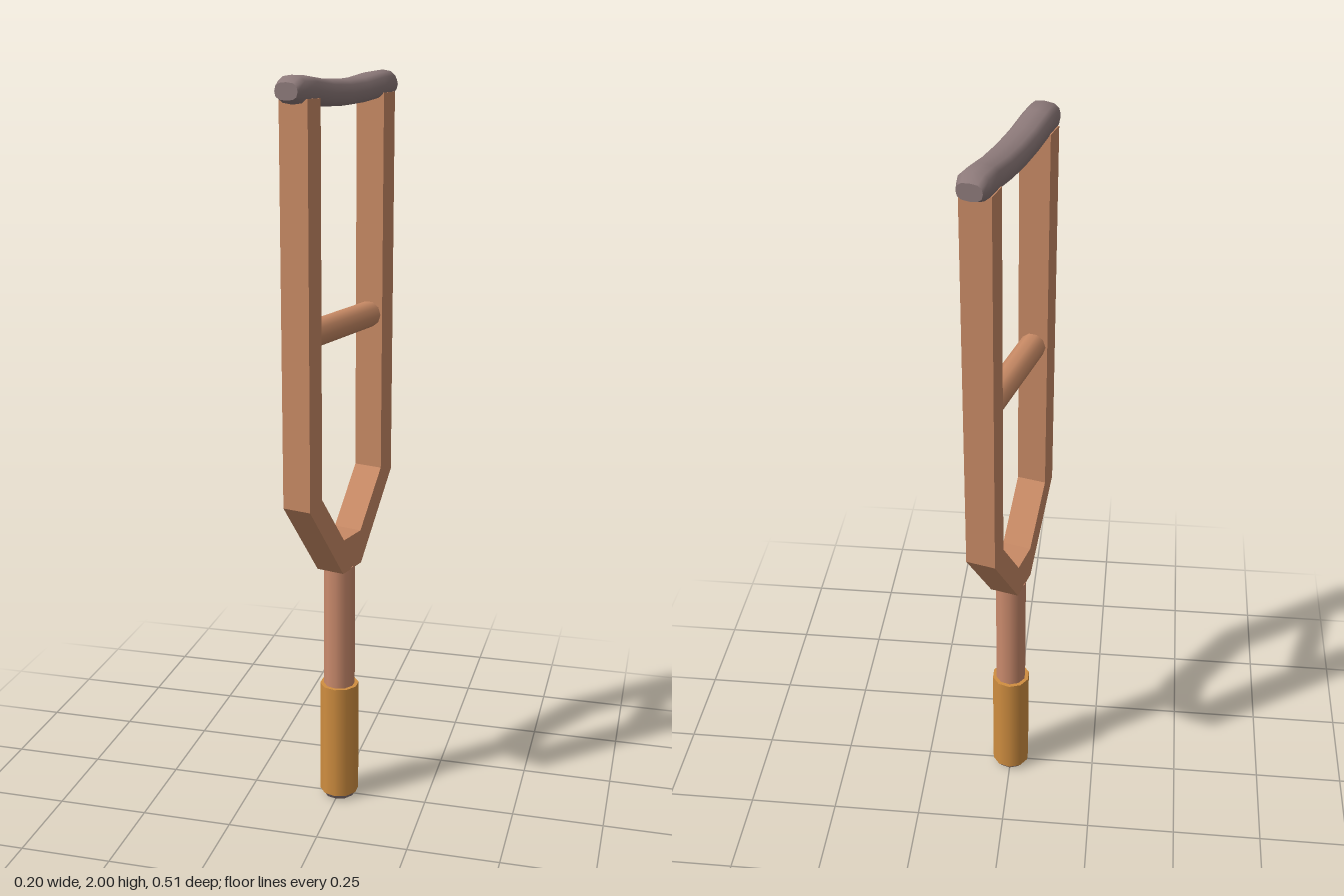
import * as THREE from 'three';
import { toCreasedNormals } from 'three/addons/utils/BufferGeometryUtils.js';

const material = (name, color) => {
  const m = new THREE.MeshStandardMaterial({ color });
  m.name = name;
  return m;
};

// Lofts rounded-box rings along z; each section is [z, centreY, halfWidth, halfHeight]
function loft(sections, sides) {
  const pos = [], index = [];
  const soft = (v) => Math.sign(v) * Math.abs(v) ** 0.75;
  for (const [z, y, w, h] of sections) {
    for (let j = 0; j < sides; j++) {
      const a = (j / sides) * Math.PI * 2;
      pos.push(w * soft(Math.cos(a)), y + h * soft(Math.sin(a)), z);
    }
  }
  const last = sections.length - 1;
  const c0 = pos.length / 3, c1 = c0 + 1;
  pos.push(0, sections[0][1], sections[0][0], 0, sections[last][1], sections[last][0]);
  for (let j = 0; j < sides; j++) {
    const k = (j + 1) % sides;
    for (let i = 0; i < last; i++) {
      const a = i * sides + j, b = i * sides + k;
      index.push(a, b, a + sides, b, b + sides, a + sides);
    }
    index.push(c0, k, j, c1, last * sides + j, last * sides + k);
  }
  const g = new THREE.BufferGeometry();
  g.setAttribute('position', new THREE.Float32BufferAttribute(pos, 3));
  g.setIndex(index);
  return toCreasedNormals(g, 0.9);
}

export function createModel() {
  const model = new THREE.Group();
  model.name = 'crutch';
  const wood = material('wood', 0xc88a65);
  const postWood = material('post wood', 0xcb8b6d);
  const rubber = material('pad grey', 0x8c7979);
  const sleeveColor = material('sleeve orange', 0xd08e40);

  const add = (parent, name, geometry, mat) => {
    const mesh = new THREE.Mesh(geometry, mat);
    mesh.name = name;
    parent.add(mesh);
    return mesh;
  };

  // Upper half is turned slightly about the vertical axis
  const upper = new THREE.Group();
  upper.name = 'upperFrame';
  upper.rotation.y = -Math.PI / 12;
  model.add(upper);

  // Fork: two uprights converging on the post
  const half = [[0.05, 0.695], [0.223, 0.92], [0.223, 1.945], [0.162, 1.945], [0.162, 0.938], [0.046, 0.79]];
  const outline = [...half, ...half.map(([x, y]) => [-x, y]).reverse()];
  const fork = new THREE.ExtrudeGeometry(
    new THREE.Shape(outline.map(([x, y]) => new THREE.Vector2(x, y))),
    { depth: 0.08, bevelEnabled: false }
  );
  fork.translate(0, 0, -0.04).rotateY(Math.PI / 2);
  add(upper, 'fork', fork, wood);

  // Hand grip between the uprights
  const grip = new THREE.CylinderGeometry(0.035, 0.035, 0.328, 10);
  grip.rotateY(Math.PI / 2).rotateX(Math.PI / 2).translate(0, 1.366, 0);
  add(upper, 'handGrip', grip, wood);

  // Sagging underarm pad
  const padHalf = [
    [0.2547, 1.963, 0.032, 0.021],
    [0.229, 1.966, 0.041, 0.034],
    [0.17, 1.963, 0.041, 0.034],
    [0.085, 1.954, 0.041, 0.033],
  ];
  const pad = [
    ...padHalf.map(([z, ...rest]) => [-z, ...rest]),
    [0, 1.951, 0.041, 0.033],
    ...[...padHalf].reverse(),
  ];
  add(upper, 'underarmPad', loft(pad, 12), rubber);

  // Lower post, sleeve and ground tip
  const column = (name, top, bottom, y0, y1, mat) =>
    add(model, name, new THREE.CylinderGeometry(top, bottom, y1 - y0, 10).translate(0, (y0 + y1) / 2, 0), mat);
  column('post', 0.043, 0.043, 0.33, 0.7, postWood);
  column('sleeve', 0.054, 0.054, 0.014, 0.345, sleeveColor);
  column('groundTip', 0.052, 0.043, 0, 0.014, rubber);

  return model;
}
